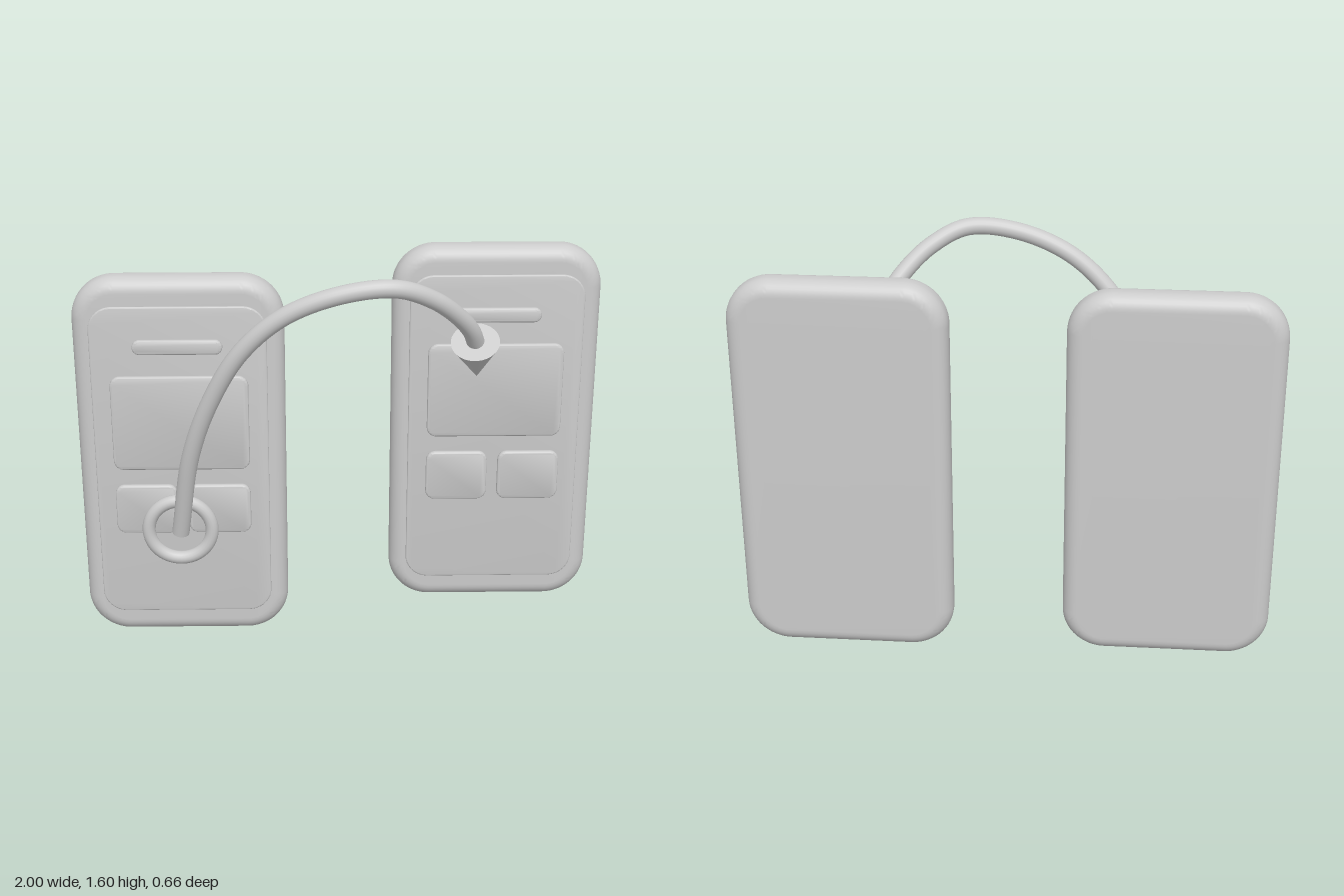
import * as THREE from 'three';
import { toCreasedNormals } from 'three/addons/utils/BufferGeometryUtils.js';

const material = new THREE.MeshStandardMaterial({ color: 0xcccccc });

function addMesh(parent, name, geometry) {
  const mesh = new THREE.Mesh(geometry, material);
  mesh.name = name;
  parent.add(mesh);
  return mesh;
}

// Rounded rectangle slab with softened edges, given by its outer bounds
function slab(x0, x1, y0, y1, z0, z1, radius, bevel, steps) {
  const l = x0 + bevel, r = x1 - bevel, b = y0 + bevel, t = y1 - bevel;
  const c = Math.max(radius - bevel, 0.002);
  const s = new THREE.Shape();
  s.absarc(r - c, b + c, c, -Math.PI / 2, 0);
  s.absarc(r - c, t - c, c, 0, Math.PI / 2);
  s.absarc(l + c, t - c, c, Math.PI / 2, Math.PI);
  s.absarc(l + c, b + c, c, Math.PI, Math.PI * 1.5);
  const g = new THREE.ExtrudeGeometry(s, {
    depth: z1 - z0 - 2 * bevel, bevelEnabled: true, bevelSize: bevel,
    bevelThickness: bevel, bevelSegments: steps, curveSegments: 12,
  });
  g.translate(0, 0, z0 + bevel);
  return toCreasedNormals(g, 0.6);
}

// Handset centred on x, standing on y = 0, with its front face at z = 0
function createPhone(name) {
  const phone = new THREE.Group();
  phone.name = name;
  addMesh(phone, 'body', slab(-0.3975, 0.3975, 0, 1.485, -0.131, 0, 0.165, 0.056, 8));
  addMesh(phone, 'screen', slab(-0.332, 0.332, 0.108, 1.383, 0.003, 0.017, 0.09, 0.005, 3));

  // Raised interface tiles: left, right, bottom, top, corner radius
  const tiles = [
    ['titleBar', -0.17, 0.167, 1.203, 1.26, 0.028],
    ['largeCard', -0.26, 0.26, 0.734, 1.115, 0.038],
    ['smallCardRight', -0.26, -0.021, 0.465, 0.668, 0.036],
    ['smallCardLeft', 0.021, 0.26, 0.465, 0.668, 0.036],
  ];
  for (const [tile, x0, x1, y0, y1, r] of tiles) {
    addMesh(phone, tile, slab(x0, x1, y0, y1, 0.018, 0.043, r, 0.009, 4));
  }
  return phone;
}

export function createModel() {
  const model = new THREE.Group();
  model.name = 'phoneTransfer';

  const near = createPhone('frontPhone');
  near.position.set(-0.6025, 0, -0.063);
  const far = createPhone('rearPhone');
  far.position.set(0.6025, 0.07, -0.202);
  model.add(near, far);

  // Ring marking where the gesture starts
  const ring = addMesh(model, 'startRing', new THREE.TorusGeometry(0.12, 0.025, 16, 48));
  ring.position.set(-0.608, 0.54, 0.097);

  // Curved shaft, closed at its start
  const path = new THREE.CatmullRomCurve3([
    [-0.608, 0.525, 0.09], [-0.555, 0.87, 0.165], [-0.473, 1.11, 0.214],
    [-0.355, 1.318, 0.256], [-0.2, 1.46, 0.283], [0, 1.543, 0.297],
    [0.195, 1.56, 0.285], [0.33, 1.5, 0.232], [0.425, 1.415, 0.172],
    [0.475, 1.345, 0.125], [0.495, 1.29, 0.09],
  ].map((p) => new THREE.Vector3(...p)));
  addMesh(model, 'arrowShaft', new THREE.TubeGeometry(path, 96, 0.033, 20));
  const cap = addMesh(model, 'shaftCap', new THREE.CircleGeometry(0.033, 20));
  cap.position.copy(path.getPoint(0));
  cap.quaternion.setFromUnitVectors(new THREE.Vector3(0, 0, 1), path.getTangent(0).negate());

  // Cone head pointing at the far phone
  const base = new THREE.Vector3(0.494, 1.29, 0.09);
  const tip = new THREE.Vector3(0.513, 1.118, -0.008);
  const head = addMesh(model, 'arrowHead', new THREE.ConeGeometry(0.09, base.distanceTo(tip), 32));
  head.position.copy(base).lerp(tip, 0.5);
  head.quaternion.setFromUnitVectors(new THREE.Vector3(0, 1, 0), tip.clone().sub(base).normalize());

  return model;
}
